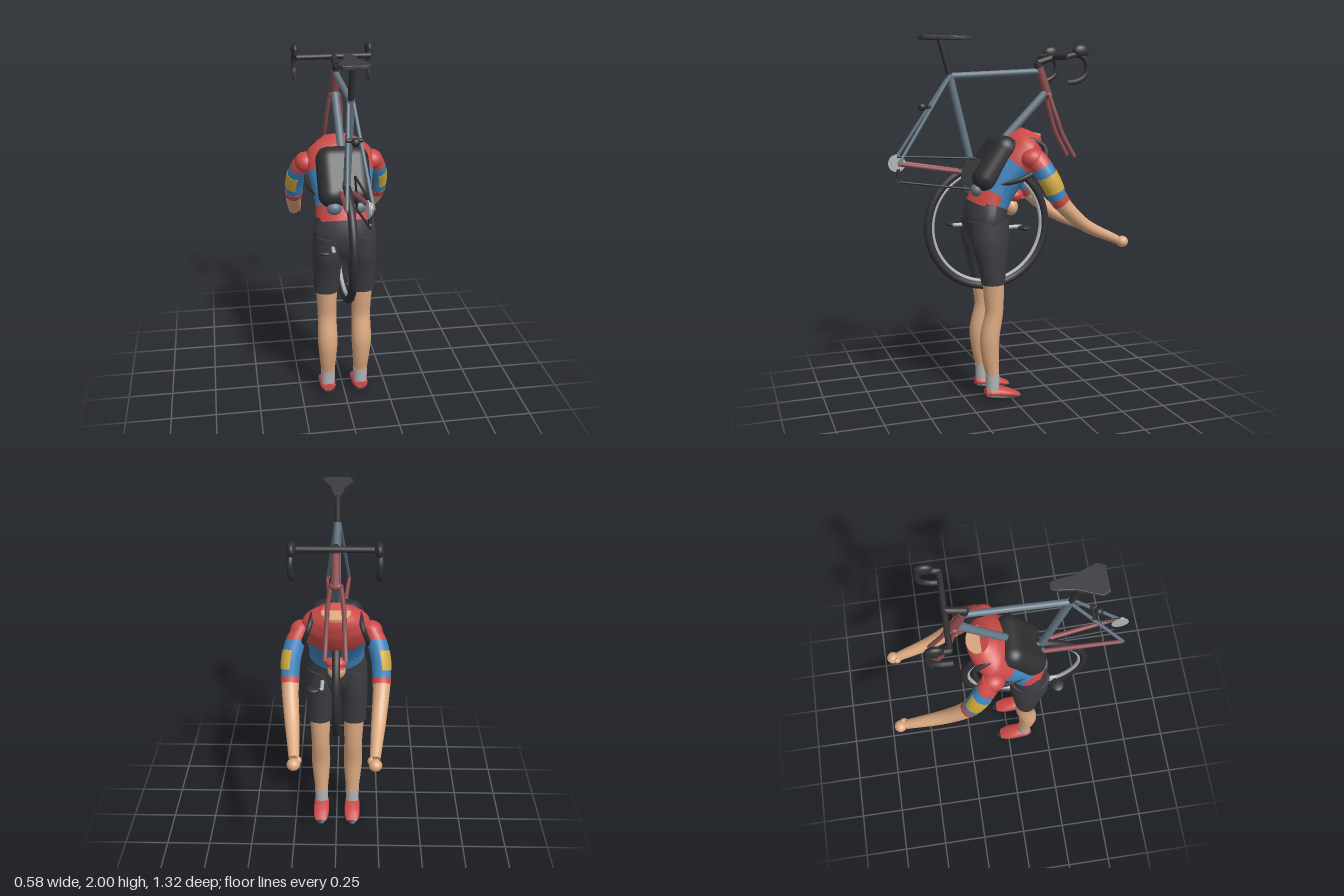
import * as THREE from 'three';
import { RoundedBoxGeometry } from 'three/addons/geometries/RoundedBoxGeometry.js';

const paint = (name, color) => Object.assign(new THREE.MeshStandardMaterial({ color }), { name });
const V = (p) => new THREE.Vector3(...p);

export function createModel() {
  const red = paint('jersey red', 0xcc4b49), blue = paint('jersey blue', 0x3f86c0);
  const yellow = paint('patch yellow', 0xd0aa3e), skin = paint('skin', 0xdca981);
  const dark = paint('shorts charcoal', 0x3d3c41), black = paint('black', 0x303033);
  const steel = paint('frame blue grey', 0x657683), maroon = paint('fork maroon', 0x8d4d50);
  const grey = paint('metal grey', 0xb2b5b6);
  const model = new THREE.Group();
  model.name = 'cyclistCarryingBicycle';

  const add = (name, geo, mat, pos = [0, 0, 0], parent = model) => {
    const m = new THREE.Mesh(geo, mat);
    m.name = name;
    m.position.set(...pos);
    parent.add(m);
    return m;
  };
  const ball = (name, mat, pos, [x, y, z]) =>
    add(name, new THREE.SphereGeometry(1, 24, 16).scale(x, y, z), mat, pos);
  const rod = (name, mat, a, b, r, r2 = r) => {
    const d = V(b).sub(V(a));
    const m = add(name, new THREE.CylinderGeometry(r2, r, d.length(), 14), mat);
    m.position.copy(V(a)).addScaledVector(d, 0.5);
    m.quaternion.setFromUnitVectors(new THREE.Vector3(0, 1, 0), d.normalize());
    return m;
  };
  const tube = (name, mat, pts, r) =>
    add(name, new THREE.TubeGeometry(new THREE.CatmullRomCurve3(pts.map(V)), 32, r, 10), mat);
  const disc = (name, mat, r, w, pos) =>
    add(name, new THREE.CylinderGeometry(r, r, w, 28).rotateZ(Math.PI / 2), mat, pos);

  // Elliptical loft through rings [x, y, z, halfWidth, halfDepth], between ring numbers u0 and u1
  const loft = (name, mat, rings, u0 = 0, u1 = rings.length - 1, a0 = 0, a1 = Math.PI * 2, grow = 0) => {
    const n = rings.length - 1, steps = Math.max(3, Math.ceil((u1 - u0) * 5)), sides = 28;
    const path = new THREE.CatmullRomCurve3(rings.map((r) => V(r.slice(0, 3))));
    const size = new THREE.CatmullRomCurve3(rings.map((r) => V([r[3], r[4], 0])));
    const X = new THREE.Vector3(1, 0, 0), pos = [], idx = [], row = sides + 1;
    for (let i = 0; i <= steps; i++) {
      const u = (u0 + (u1 - u0) * i / steps) / n;
      const c = path.getPoint(u), s = size.getPoint(u), t = path.getTangent(u).setX(0).normalize();
      const D = X.clone().cross(t);
      for (let j = 0; j <= sides; j++) {
        const a = a0 + (a1 - a0) * j / sides;
        const p = c.clone().addScaledVector(X, Math.cos(a) * (s.x + grow)).addScaledVector(D, Math.sin(a) * (s.y + grow));
        pos.push(p.x, p.y, p.z);
        if (i < steps && j < sides) {
          const k = i * row + j;
          idx.push(k, k + row, k + 1, k + 1, k + row, k + row + 1);
        }
      }
    }
    // Flat end caps with their own vertices
    for (const end of [0, steps]) {
      const base = pos.length / 3, ring = pos.slice(end * row * 3, (end + 1) * row * 3);
      const c = path.getPoint((end ? u1 : u0) / n);
      pos.push(...ring, c.x, c.y, c.z);
      for (let j = 0; j < sides; j++) {
        if (end) idx.push(base + row, base + j + 1, base + j);
        else idx.push(base + row, base + j, base + j + 1);
      }
    }
    const g = new THREE.BufferGeometry();
    g.setAttribute('position', new THREE.Float32BufferAttribute(pos, 3));
    g.setIndex(idx);
    g.computeVertexNormals();
    return add(name, g, mat);
  };

  // Torso bent forward, with a red back hem, blue middle and red shoulders
  const torso = [[0, 1.08, .11, .155, .112], [0, 1.16, .075, .154, .11], [0, 1.25, .02, .165, .115],
    [0, 1.34, -.05, .183, .115], [0, 1.41, -.10, .178, .105], [0, 1.455, -.13, .13, .085], [0, 1.485, -.145, .08, .066]];
  loft('jerseyHemBack', red, torso, 0, 1, -.1, Math.PI + .1);
  loft('jerseyHemFront', blue, torso, 0, 1, Math.PI + .1, Math.PI * 2 - .1);
  loft('jerseyMiddle', blue, torso, 1, 2.7);
  loft('jerseyShoulders', red, torso, 2.7, 6);
  loft('neck', skin, [[0, 1.475, -.143, .078, .063], [0, 1.488, -.146, .076, .062]]);

  // Lowered head with its cap, tucked under the chest
  ball('head', skin, [0, 1.075, -.035], [.05, .05, .04]);
  ball('cap', red, [0, 1.14, -.05], [.062, .04, .055]);
  ball('capPeak', red, [0, 1.125, -.085], [.045, .012, .03]);

  // Shorts
  loft('shortsSeat', dark, [[0, .88, .115, .07, .07], [0, .94, .118, .15, .1], [0, 1.02, .118, .173, .114], [0, 1.12, .098, .152, .108]]);

  for (const s of [1, -1]) {
    const side = s > 0 ? 'left' : 'right';
    const flip = (rings) => rings.map(([x, ...r]) => [x * s, ...r]);

    // Leg, sock and shoe
    loft(side + 'ShortsLeg', dark, flip([[.1, .67, .102, .07, .063], [.098, .8, .108, .077, .084],
      [.092, .92, .117, .084, .108], [.085, 1.02, .119, .085, .11]]));
    const leg = flip([[.095, .06, .105, .038, .036], [.095, .15, .107, .04, .038], [.096, .24, .117, .048, .048],
      [.097, .36, .122, .056, .054], [.097, .5, .097, .053, .05], [.098, .6, .098, .056, .056], [.1, .7, .103, .06, .06]]);
    loft(side + 'Sock', grey, leg, 0, 1, 0, Math.PI * 2, .001);
    loft(side + 'Leg', skin, leg, 1, 6);
    const shoe = flip([[.095, .048, .147, .03, .02], [.095, .046, .12, .044, .027], [.095, .041, .07, .046, .03],
      [.095, .031, .01, .046, .022], [.095, .016, -.04, .036, .012], [.095, .008, -.07, .014, .005]]);
    loft(side + 'ShoeUpper', red, shoe, 0, 4.3);
    loft(side + 'ShoeToe', black, shoe, 4.3, 5);
    loft(side + 'ShoeSole', black, flip([[.095, .03, .148, .032, .018], [.095, .026, .11, .046, .02],
      [.095, .018, .05, .047, .016], [.095, .011, -.01, .045, .01], [.095, .006, -.073, .014, .005]]));

    // Arm with sleeve, patch, cuff and hand
    const arm = flip([[.185, 1.37, -.10, .05, .055], [.21, 1.32, -.13, .055, .058], [.235, 1.23, -.18, .052, .055],
      [.24, 1.14, -.225, .048, .048], [.238, 1.08, -.275, .044, .043], [.225, .985, -.39, .039, .035], [.205, .89, -.59, .027, .025]]);
    ball(side + 'Shoulder', red, [.185 * s, 1.355, -.095], [.058, .055, .064]);
    loft(side + 'ShoulderSleeve', red, arm, 0, 1);
    loft(side + 'Sleeve', blue, arm, 1, 2.9);
    const a0 = s > 0 ? -Math.PI / 2 : Math.PI / 2;
    loft(side + 'SleevePatch', yellow, arm, 1.55, 2.5, a0, a0 + Math.PI, .002);
    loft(side + 'Cuff', red, arm, 2.9, 3.35, 0, Math.PI * 2, .002);
    loft(side + 'Forearm', skin, arm, 3.35, 6);
    ball(side + 'Hand', skin, [.206 * s, .876, -.625], [.034, .032, .034]);
    ball(side + 'Thumb', skin, [.182 * s, .885, -.603], [.016, .02, .022]);

    // Backpack strap and side pouch
    tube(side + 'Strap', black, flip([[.1, 1.43, -.01], [.12, 1.455, -.09], [.14, 1.41, -.18], [.17, 1.32, -.16],
      [.178, 1.25, -.04], [.14, 1.22, .07]]), .014);
    ball(side + 'Pouch', steel, [.065 * s, 1.185, .185], [.04, .034, .03]);

    // Paired bicycle tubes
    rod(side + 'SeatStay', steel, [.065 * s, 1.34, .605], [.012 * s, 1.79, .31], .009);
    rod(side + 'ChainStay', maroon, [.065 * s, 1.34, .605], [.03 * s, 1.27, .18], .011, .014);
    tube(side + 'ForkBlade', maroon, flip([[.025, 1.69, -.25], [.04, 1.58, -.285], [.046, 1.47, -.325], [.052, 1.345, -.395]]), .012);
    tube(side + 'BarDrop', black, flip([[.2, 1.89, -.28], [.206, 1.9, -.34], [.21, 1.87, -.385], [.21, 1.8, -.385],
      [.21, 1.765, -.34], [.21, 1.755, -.28]]), .015);
    ball(side + 'BrakeHood', black, [.206 * s, 1.918, -.355], [.022, .036, .045]);

    // Crank and pedal
    const pz = .1 - .17 * s;
    rod(side + 'Crank', grey, [.08 * s, .975, .1], [.08 * s, .975, pz], .013, .01);
    rod(side + 'PedalAxle', grey, [.075 * s, .975, pz], [.13 * s, .975, pz], .007);
    ball(side + 'Pedal', black, [.128 * s, .975, pz], [.04, .013, .036]);
  }

  // Backpack
  add('backpack', new RoundedBoxGeometry(.285, .33, .15, 6, .07), black, [0, 1.322, .075]).rotation.x = -.6;

  // Loose wheel on the crank axle
  add('tyre', new THREE.TorusGeometry(.339, .022, 14, 72).rotateY(Math.PI / 2), black, [0, .977, .1]);
  add('rim', new THREE.TorusGeometry(.314, .011, 10, 72).rotateY(Math.PI / 2), grey, [0, .977, .1]);
  rod('crankAxle', black, [-.085, .975, .1], [.085, .975, .1], .014);

  // Frame
  rod('seatTube', steel, [0, 1.27, .18], [0, 1.8, .31], .02);
  rod('topTube', steel, [0, 1.79, .31], [0, 1.815, -.2], .017);
  rod('downTube', steel, [0, 1.27, .18], [0, 1.7, -.24], .022);
  rod('headTube', maroon, [0, 1.68, -.255], [0, 1.835, -.2], .024);
  ball('forkCrown', maroon, [0, 1.685, -.252], [.035, .022, .025]);
  rod('stayBridge', black, [-.04, 1.63, .43], [.04, 1.63, .43], .01);
  ball('tailLight', black, [0, 1.63, .46], [.022, .022, .022]);
  rod('bottomBracket', steel, [-.04, 1.27, .18], [.04, 1.27, .18], .025);

  // Saddle and seat post
  rod('seatPost', black, [0, 1.79, .308], [0, 1.98, .36], .016);
  const half = [[.015, .2], [.026, .23], [.034, .31], [.07, .4], [.079, .43], [.062, .462]];
  const outline = [...half, ...half.map(([x, z]) => [-x, z]).reverse()].map((p) => new THREE.Vector2(...p));
  const saddle = new THREE.ExtrudeGeometry(new THREE.Shape(outline), { depth: .012, bevelSize: .003, bevelThickness: .004, bevelSegments: 2 });
  add('saddle', saddle.rotateX(Math.PI / 2), dark, [0, 1.995, 0]);

  // Stem and handlebar
  rod('steerer', black, [0, 1.83, -.2], [0, 1.865, -.19], .021);
  rod('stem', black, [0, 1.86, -.19], [0, 1.89, -.285], .018);
  rod('handlebar', black, [-.205, 1.89, -.285], [.205, 1.89, -.285], .015);

  // Drivetrain
  [.046, .038, .03].forEach((r, i) => disc('sprocket', grey, r, .005, [.038 + i * .008, 1.342, .61]));
  disc('chainring', black, .085, .006, [.047, 1.27, .18]);
  rod('derailleur', black, [.047, 1.33, .605], [.047, 1.25, .605], .009);
  disc('derailleurWheel', black, .017, .01, [.047, 1.255, .605]);
  rod('chainTop', black, [.047, 1.378, .61], [.047, 1.355, .18], .006);
  rod('chainBottom', black, [.047, 1.245, .605], [.047, 1.185, .18], .006);
  return model;
}
